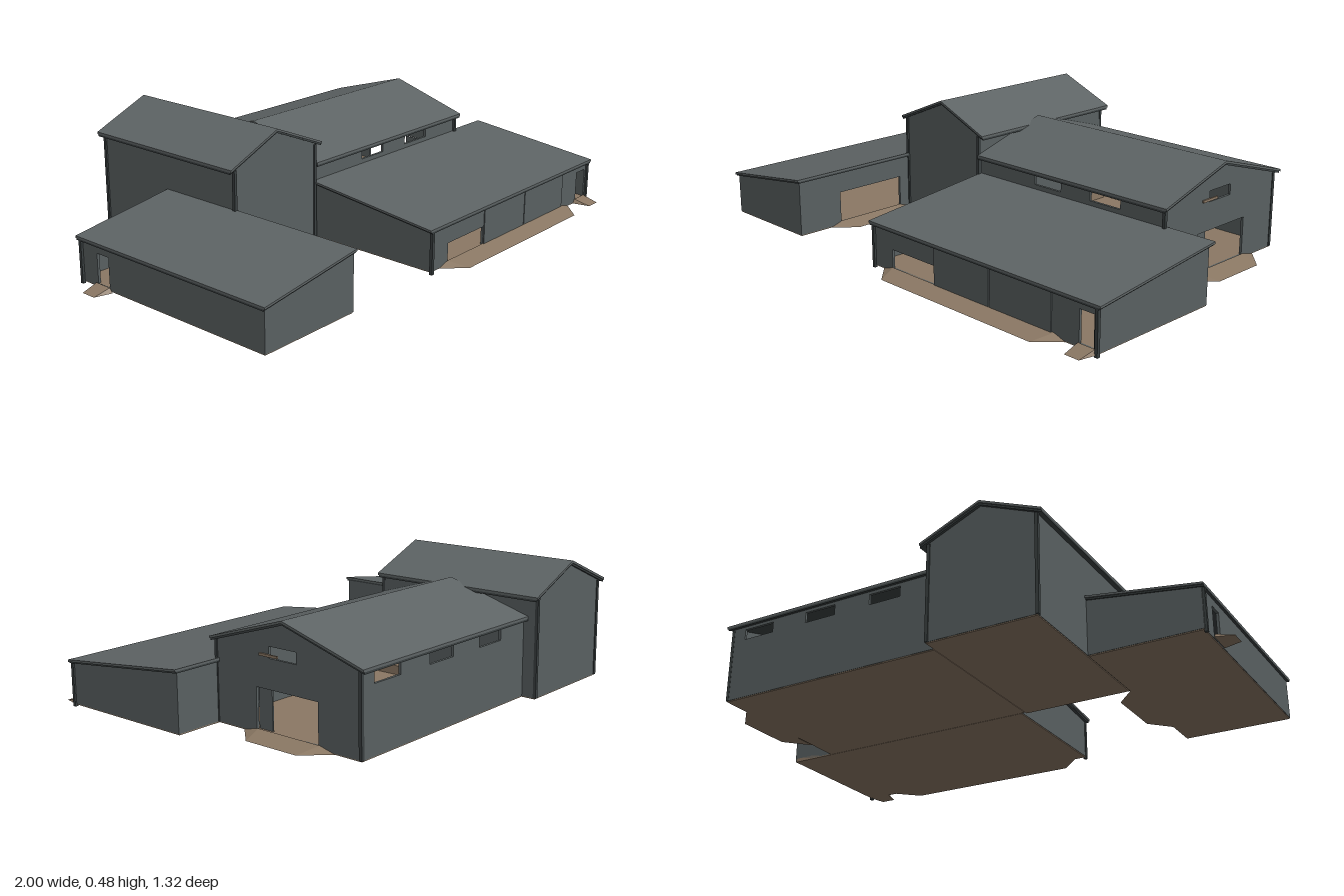
import * as THREE from 'three';

const mat = (name, color, side = THREE.FrontSide) => {
  const m = new THREE.MeshStandardMaterial({ color, side });
  m.name = name;
  return m;
};

export function createModel() {
  const root = new THREE.Group();
  root.name = 'farmBuildings';
  const wallMat = mat('slateWall', 0x596061);
  const roofMat = mat('greyRoof', 0x5e6465);
  const trimMat = mat('darkTrim', 0x3a4041);
  const earthMat = mat('tanEarth', 0x8b7864, THREE.DoubleSide);
  const T = 0.01; // wall thickness

  const add = (parent, name, geo, material) => {
    const mesh = new THREE.Mesh(geo, material);
    mesh.name = name;
    parent.add(mesh);
    return mesh;
  };
  const box = (parent, name, x0, x1, y0, y1, z0, z1, material) => {
    const m = add(parent, name, new THREE.BoxGeometry(x1 - x0, y1 - y0, z1 - z0), material);
    m.position.set((x0 + x1) / 2, (y0 + y1) / 2, (z0 + z1) / 2);
    return m;
  };
  const building = (name) => {
    const g = new THREE.Group();
    g.name = name;
    root.add(g);
    return g;
  };
  const outline = (pts, holes, sign) => {
    const v = ([u, y]) => new THREE.Vector2(sign * u, y);
    const shape = new THREE.Shape(pts.map(v));
    for (const [u0, u1, y0, y1] of holes) {
      shape.holes.push(new THREE.Path([[u0, y0], [u0, y1], [u1, y1], [u1, y0]].map(v)));
    }
    return shape;
  };
  // Profile in (x, y), extruded from z0 to z1
  const alongZ = (parent, name, pts, z0, z1, material, holes = []) => {
    const geo = new THREE.ExtrudeGeometry(outline(pts, holes, 1), { depth: z1 - z0, bevelEnabled: false });
    return add(parent, name, geo.translate(0, 0, z0), material);
  };
  // Profile in (z, y), extruded from x0 to x1
  const alongX = (parent, name, pts, x0, x1, material, holes = []) => {
    const geo = new THREE.ExtrudeGeometry(outline(pts, holes, -1), { depth: x1 - x0, bevelEnabled: false });
    return add(parent, name, geo.rotateY(Math.PI / 2).translate(x0, 0, 0), material);
  };
  const rect = (u0, u1, top) => [[u0, 0.01], [u1, 0.01], [u1, top], [u0, top]];
  // Roof slab: an upper line closed by the same line moved down
  const slab = (line, t) => [...line, ...line.map(([u, y]) => [u, y - t]).reverse()];
  const lower = (line, d) => line.map(([u, y]) => [u, y - d]);
  const pipe = (parent, x, z, top, bottom = 0.01) =>
    box(parent, 'downpipe', x - 0.006, x + 0.006, bottom, top, z - 0.006, z + 0.006, trimMat);

  // Earth ramp: raised edge at the wall, falling outwards and to both sides
  const ramp = (parent, x, z, turn, wide, top, out, depth) => {
    const y0 = 0.007, y1 = 0.023;
    const a = [-wide, y0, 0], b = [-out, y0, depth], c = [out, y0, depth];
    const d = [wide, y0, 0], e = [-top, y1, 0], f = [top, y1, 0];
    const tris = [b, c, f, b, f, e, a, b, e, d, f, c, a, d, c, a, c, b];
    const geo = new THREE.BufferGeometry();
    geo.setAttribute('position', new THREE.Float32BufferAttribute(tris.flat(), 3));
    geo.computeVertexNormals();
    const m = add(parent, 'ramp', geo, earthMat);
    m.position.set(x, 0, z);
    m.rotation.y = turn;
  };
  const floor = (parent, x0, x1, z0, z1) => box(parent, 'floor', x0, x1, 0.006, 0.02, z0, z1, earthMat);

  // Side shed with a single slope falling to -x
  const shed = building('sideShed');
  const shedLine = [[-0.94, 0.172], [-0.51, 0.232]];
  const shedEnd = [[-0.93, 0.01], [-0.515, 0.01], [-0.515, 0.222], [-0.93, 0.164]];
  alongZ(shed, 'roof', slab(shedLine, 0.008), -0.3, 0.6, roofMat);
  alongZ(shed, 'roofEdge', slab(lower(shedLine, 0.008), 0.006), -0.295, 0.595, trimMat);
  alongZ(shed, 'frontWall', shedEnd, 0.58, 0.59, wallMat);
  alongZ(shed, 'backWall', shedEnd, -0.29, -0.28, wallMat);
  alongX(shed, 'outerWall', rect(-0.285, 0.585, 0.163), -0.93, -0.92, wallMat, [[-0.2, -0.14, 0.02, 0.13]]);
  alongX(shed, 'innerWall', rect(0.045, 0.585, 0.22), -0.525, -0.515, wallMat, [[0.1, 0.4, 0.02, 0.14]]);
  floor(shed, -0.928, -0.517, -0.288, 0.588);
  ramp(shed, -0.935, -0.17, -Math.PI / 2, 0.05, 0.035, 0.03, 0.065);
  ramp(shed, -0.517, 0.25, Math.PI / 2, 0.2, 0.15, 0.12, 0.075);
  pipe(shed, -0.933, -0.28, 0.165, 0);

  // Tall barn with its ridge along z
  const tall = building('tallBarn');
  const tallLine = [[-0.54, 0.385], [-0.305, 0.484], [-0.07, 0.385]];
  const tallEnd = [[-0.515, 0.01], [-0.095, 0.01], [-0.095, 0.385], [-0.305, 0.473], [-0.515, 0.385]];
  alongZ(tall, 'roof', slab(tallLine, 0.009), -0.66, 0.06, roofMat);
  alongZ(tall, 'roofEdge', slab(lower(tallLine, 0.009), 0.007), -0.655, 0.055, trimMat);
  alongZ(tall, 'frontWall', tallEnd, 0.04, 0.05, wallMat);
  alongZ(tall, 'backWall', tallEnd, -0.645, -0.635, wallMat);
  for (const x of [-0.515, -0.105]) alongX(tall, 'sideWall', rect(-0.64, 0.045, 0.386), x, x + T, wallMat);
  floor(tall, -0.513, -0.097, -0.643, 0.048);
  for (const x of [-0.515, -0.1]) for (const z of [0.05, -0.643]) pipe(tall, x, z, 0.378);

  // Main barn with its ridge along x
  const main = building('mainBarn');
  const mainLine = [[0.06, 0.307], [-0.27, 0.407], [-0.608, 0.307]];
  const mainEnd = [[0.04, 0.01], [-0.585, 0.01], [-0.585, 0.306], [-0.27, 0.397], [0.04, 0.306]];
  alongX(main, 'roof', slab(mainLine, 0.009), -0.095, 0.815, roofMat);
  alongX(main, 'roofEdge', slab(lower(mainLine, 0.009), 0.007), -0.095, 0.81, trimMat);
  alongX(main, 'gableWall', mainEnd, 0.79, 0.8, wallMat,
    [[-0.41, -0.14, 0.02, 0.165], [-0.32, -0.2, 0.27, 0.31]]);
  alongZ(main, 'frontWall', rect(-0.095, 0.795, 0.306), 0.03, 0.04, wallMat,
    [[0.19, 0.32, 0.25, 0.29], [0.46, 0.6, 0.25, 0.29]]);
  alongZ(main, 'backWall', rect(-0.095, 0.795, 0.305), -0.59, -0.58, wallMat,
    [[0.05, 0.18, 0.245, 0.285], [0.33, 0.46, 0.245, 0.285], [0.61, 0.74, 0.245, 0.285]]);
  floor(main, -0.095, 0.798, -0.588, 0.038);
  box(main, 'innerBank', -0.09, 0.0, 0.02, 0.055, -0.57, 0.02, earthMat);
  box(main, 'slidingDoor', 0.782, 0.788, 0.02, 0.165, -0.2, -0.14, wallMat);
  box(main, 'hatchLedge', 0.8, 0.806, 0.275, 0.284, -0.24, -0.16, earthMat);
  ramp(main, 0.8, -0.28, Math.PI / 2, 0.2, 0.135, 0.11, 0.083);
  for (const z of [0.043, -0.585]) pipe(main, 0.797, z, 0.3);

  // Long lean-to falling to the front
  const lean = building('leanTo');
  const leanLine = [[0.03, 0.234], [0.59, 0.172]];
  const leanEnd = [[0.04, 0.01], [0.58, 0.01], [0.58, 0.165], [0.04, 0.226]];
  alongX(lean, 'roof', slab(leanLine, 0.008), -0.098, 0.997, roofMat);
  alongX(lean, 'roofEdge', slab(lower(leanLine, 0.008), 0.006), -0.092, 0.991, trimMat);
  for (const x of [-0.08, 0.97]) alongX(lean, 'endWall', leanEnd, x, x + T, wallMat);
  alongZ(lean, 'frontWall', rect(-0.075, 0.975, 0.165), 0.57, 0.58, wallMat,
    [[0.02, 0.24, 0.02, 0.09], [0.905, 0.965, 0.02, 0.135]]);
  alongZ(lean, 'backWall', rect(0.795, 0.975, 0.224), 0.04, 0.05, wallMat);
  for (const [x0, x1] of [[0.243, 0.51], [0.514, 0.79]]) {
    box(lean, 'slidingDoor', x0, x1, 0.02, 0.155, 0.58, 0.584, wallMat);
  }
  floor(lean, -0.078, 0.978, 0.04, 0.578);
  ramp(lean, 0.41, 0.58, 0, 0.44, 0.39, 0.36, 0.078);
  ramp(lean, 0.935, 0.58, 0, 0.045, 0.035, 0.03, 0.067);
  for (const x of [-0.078, 0.98]) pipe(lean, x, 0.582, 0.165, 0);

  return root;
}
